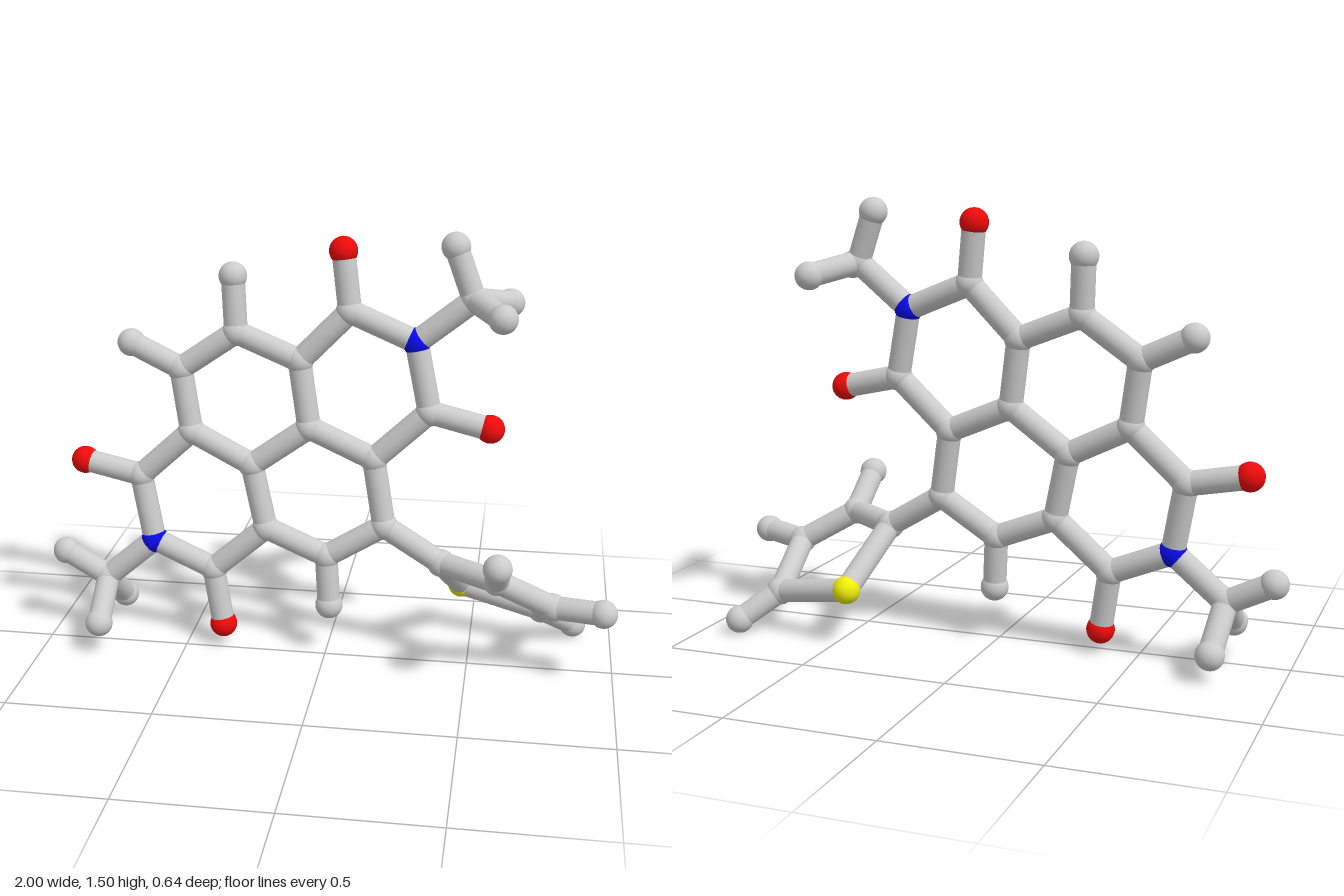
import * as THREE from 'three';

const ATOM_R = 0.048, BOND_R = 0.04;
const COLORS = { C: 0xcccccc, H: 0xcccccc, O: 0xee0a0a, N: 0x0a0aee, S: 0xeeee0a };
const NAMES = { C: 'carbon', H: 'hydrogen', O: 'oxygen', N: 'nitrogen', S: 'sulfur' };

// The fused ring system lies in one slightly tilted plane
const planeZ = (x, y) => -0.005 + 0.053 * x - 0.08 * y;

// Atoms: key (first letter is the element): [x, y, z]; z is taken from the plane if left out
const ATOMS = {
  // fused rings
  C1: [-0.515, 1.0], C2: [-0.32, 1.135], C3: [-0.1, 1.05], C4: [-0.065, 0.82],
  C5: [-0.265, 0.675], C6: [-0.48, 0.78], C7: [0.07, 1.225], C8: [0.345, 0.9],
  C9: [0.16, 0.725], C10: [0.2, 0.49], C11: [0, 0.365], C12: [-0.215, 0.45],
  C13: [-0.405, 0.285], C14: [-0.665, 0.61],
  N1: [0.295, 1.135], N2: [-0.62, 0.375],
  O1: [0.045, 1.425], O2: [0.55, 0.855], O3: [-0.37, 0.08], O4: [-0.87, 0.65],
  H1: [-0.69, 1.08], H2: [-0.33, 1.325], H11: [0.012, 0.185],
  // upper methyl
  C15: [0.48, 1.285, -0.075], H3: [0.415, 1.455, -0.092],
  H4: [0.58, 1.265, 0.083], H5: [0.595, 1.245, -0.215],
  // lower methyl
  C16: [-0.795, 0.225, -0.06], H6: [-0.952, 0.305, -0.08],
  H7: [-0.79, 0.115, 0.1], H8: [-0.777, 0.09, -0.203],
  // five-sided side ring
  C17: [0.4, 0.37, -0.02], C18: [0.597, 0.375, 0.115], C19: [0.785, 0.265, 0.055],
  C20: [0.75, 0.14, -0.185], S1: [0.462, 0.19, -0.25],
  H9: [0.6, 0.49, 0.27], H10: [0.952, 0.278, 0.11], H12: [0.865, 0.05, -0.27],
};

// Chains of bonded atoms
const CHAINS = [
  'C1 C2 C3 C4 C5 C6 C1', 'C3 C7 N1 C8 C9 C4', 'C9 C10 C11 C12 C5',
  'C12 C13 N2 C14 C6', 'C7 O1', 'C8 O2', 'C13 O3', 'C14 O4',
  'C1 H1', 'C2 H2', 'C11 H11',
  'N1 C15 H3', 'H4 C15 H5', 'N2 C16 H6', 'H7 C16 H8',
  'C10 C17 C18 C19 C20 S1 C17', 'C18 H9', 'C19 H10', 'C20 H12',
];

export function createModel() {
  const model = new THREE.Group();
  model.name = 'molecule';
  const materials = {};
  for (const e in COLORS) materials[e] = new THREE.MeshStandardMaterial({ color: COLORS[e] });
  const ball = new THREE.SphereGeometry(ATOM_R, 24, 16);
  const stick = new THREE.CylinderGeometry(BOND_R, BOND_R, 1, 24, 1, true);
  const up = new THREE.Vector3(0, 1, 0);

  // Atom balls
  const points = {};
  for (const [key, [x, y, z = planeZ(x, y)]] of Object.entries(ATOMS)) {
    const element = key[0];
    const atom = new THREE.Mesh(ball, materials[element]);
    atom.name = NAMES[element] + 'Atom';
    atom.position.set(x, y, z);
    points[key] = atom.position;
    model.add(atom);
  }

  // Bond sticks between neighbouring atoms
  for (const chain of CHAINS) {
    const keys = chain.split(' ');
    for (let i = 1; i < keys.length; i++) {
      const a = points[keys[i - 1]], b = points[keys[i]];
      const dir = b.clone().sub(a);
      const bond = new THREE.Mesh(stick, materials.C);
      bond.name = 'bond';
      bond.position.copy(a).add(b).multiplyScalar(0.5);
      bond.scale.y = dir.length();
      bond.quaternion.setFromUnitVectors(up, dir.normalize());
      model.add(bond);
    }
  }
  return model;
}
